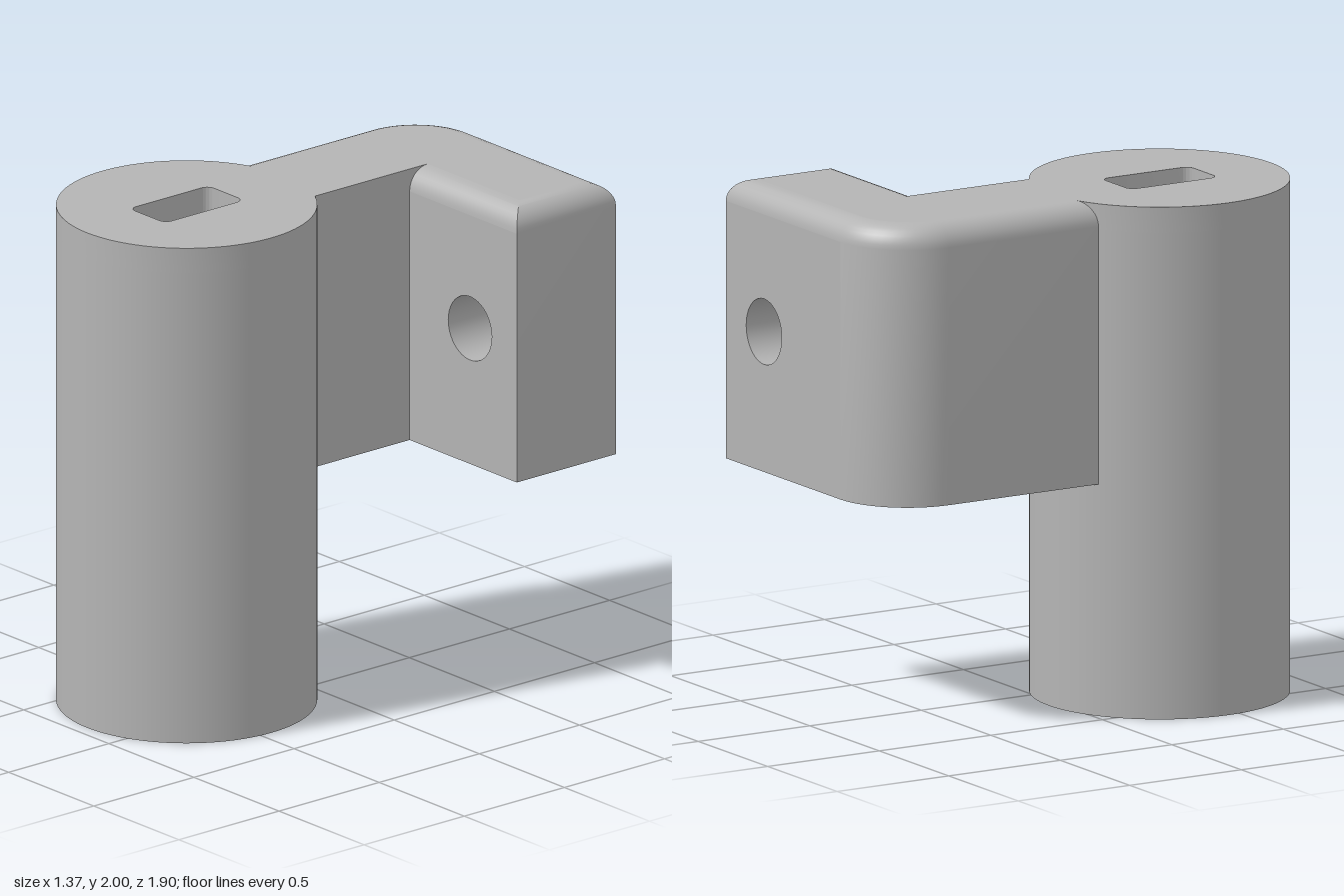
import * as THREE from 'three';
import { toCreasedNormals } from 'three/addons/utils/BufferGeometryUtils.js';

const CX = -0.19, CZ = 0.45, R = 0.497;       // post axis and radius
const BORE = 0.26, CAP_Y = 1.9;               // threaded bore
const ARM_Y = 0.905, FILLET = 0.09;           // arm underside and top fillet
const HOLE = { x: 0.41, y: 1.453, r: 0.128 }; // cross hole

export function createModel() {
  const group = new THREE.Group();
  const grey = new THREE.MeshStandardMaterial({ color: 0xb4b4b4, side: THREE.DoubleSide });
  grey.name = 'plain grey';

  const add = (name, geometry, parent = group) => {
    const mesh = new THREE.Mesh(geometry, grey);
    mesh.name = name;
    parent.add(mesh);
    return mesh;
  };

  // ---- Round post ----
  const post = new THREE.Group();
  post.name = 'post';
  post.position.set(CX, 0, CZ);
  group.add(post);

  add('postWall', new THREE.CylinderGeometry(R, R, CAP_Y, 96, 1, true).translate(0, CAP_Y / 2, 0), post);
  add('postBase', new THREE.RingGeometry(BORE, R, 96).rotateX(Math.PI / 2), post);

  // End cap pierced by a rounded slot
  const cap = new THREE.Shape().absarc(0, 0, R, 0, Math.PI * 2);
  const w = 0.105, h = 0.197, c = 0.035;
  const slot = new THREE.Path();
  slot.absarc(w - c, h - c, c, 0, Math.PI / 2);
  slot.absarc(c - w, h - c, c, Math.PI / 2, Math.PI);
  slot.absarc(c - w, c - h, c, Math.PI, Math.PI * 1.5);
  slot.absarc(w - c, c - h, c, Math.PI * 1.5, Math.PI * 2);
  slot.closePath();
  cap.holes.push(slot);
  const capGeo = new THREE.ExtrudeGeometry(cap, { depth: 2 - CAP_Y, bevelEnabled: false, curveSegments: 48 });
  add('slottedCap', toCreasedNormals(capGeo.rotateX(-Math.PI / 2).translate(0, CAP_Y, 0), 0.5), post);

  // Helical thread: a ridged lathe sheared by one pitch per turn
  const pitch = 0.1, ridges = [];
  for (let y = CAP_Y + pitch; y > -pitch * 1.5; y -= pitch) {
    ridges.push(new THREE.Vector2(BORE, y), new THREE.Vector2(BORE, y - pitch * 0.25),
      new THREE.Vector2(0.215, y - pitch * 0.55), new THREE.Vector2(0.215, y - pitch * 0.7));
  }
  const thread = new THREE.LatheGeometry(ridges, 64);
  const tp = thread.attributes.position;
  for (let i = 0; i < tp.count; i++) {
    const turn = Math.floor(i / ridges.length) / 64;
    const y = tp.getY(i) + pitch * turn;
    if (y < 0 || y > CAP_Y) {
      const k = BORE / Math.hypot(tp.getX(i), tp.getZ(i));
      tp.setX(i, tp.getX(i) * k);
      tp.setZ(i, tp.getZ(i) * k);
    }
    tp.setY(i, Math.min(CAP_Y, Math.max(0, y)));
  }
  add('threadedBore', toCreasedNormals(thread, 0.5), post);

  // ---- L-shaped arm ----
  const arm = new THREE.Group();
  arm.name = 'arm';
  group.add(arm);

  // Plan outline [x, z] with its outer edges moved in by d
  const outline = (d) => {
    const pts = [[0.055, 0.04], [0.055, -0.455 - d], [0.685 - d, -0.455 - d], [0.685 - d, -0.95 + d]];
    for (let i = 0; i <= 14; i++) {
      const a = (i / 14) * Math.PI / 2;
      pts.push([-0.14 - (0.3 - d) * Math.sin(a), -0.65 - (0.3 - d) * Math.cos(a)]);
    }
    pts.push([-0.44 + d, 0.04]);
    return pts;
  };

  // Walls and top fillet lofted through the levels
  const levels = [[ARM_Y, 0]];
  for (let i = 0; i <= 8; i++) {
    const t = (i / 8) * Math.PI / 2;
    levels.push([2 - FILLET + FILLET * Math.sin(t), FILLET * (1 - Math.cos(t))]);
  }
  const verts = [];
  for (let l = 0; l < levels.length - 1; l++) {
    const [y0, d0] = levels[l], [y1, d1] = levels[l + 1];
    const low = outline(d0), high = outline(d1);
    for (let i = 0; i < low.length - 1; i++) {
      if (l === 0 && (i === 1 || i === 3)) continue; // drilled faces are added below
      const a = [low[i][0], y0, low[i][1]], b = [low[i + 1][0], y0, low[i + 1][1]];
      const e = [high[i + 1][0], y1, high[i + 1][1]], f = [high[i][0], y1, high[i][1]];
      verts.push(...a, ...b, ...e, ...a, ...e, ...f);
    }
  }
  const walls = new THREE.BufferGeometry();
  walls.setAttribute('position', new THREE.Float32BufferAttribute(verts, 3));
  add('armWalls', toCreasedNormals(walls, 0.5), arm);

  // Flat top and underside
  const flat = (d, sign) => new THREE.ShapeGeometry(
    new THREE.Shape(outline(d).map(([x, z]) => new THREE.Vector2(x, sign * z))));
  add('armTop', flat(FILLET, -1).rotateX(-Math.PI / 2).translate(0, 2, 0), arm);
  add('armUnderside', flat(0, 1).rotateX(Math.PI / 2).translate(0, ARM_Y, 0), arm);

  // Drilled front and back faces
  const drilled = (x0, x1, mirror) => {
    const s = new THREE.Shape([[x0, ARM_Y], [x1, ARM_Y], [x1, 2 - FILLET], [x0, 2 - FILLET]]
      .map(([x, y]) => new THREE.Vector2(mirror * x, y)));
    s.holes.push(new THREE.Path().absarc(mirror * HOLE.x, HOLE.y, HOLE.r, 0, Math.PI * 2));
    return new THREE.ShapeGeometry(s, 24);
  };
  add('armFrontFace', drilled(0.055, 0.685, 1).translate(0, 0, -0.455), arm);
  add('armBackFace', drilled(-0.14, 0.685, -1).rotateY(Math.PI).translate(0, 0, -0.95), arm);

  // Cross hole lining, facing inwards
  const lining = new THREE.LatheGeometry(
    [new THREE.Vector2(HOLE.r, 0.2475), new THREE.Vector2(HOLE.r, -0.2475)], 48);
  add('crossHole', lining.rotateX(Math.PI / 2).translate(HOLE.x, HOLE.y, -0.7025), arm);

  return group;
}
